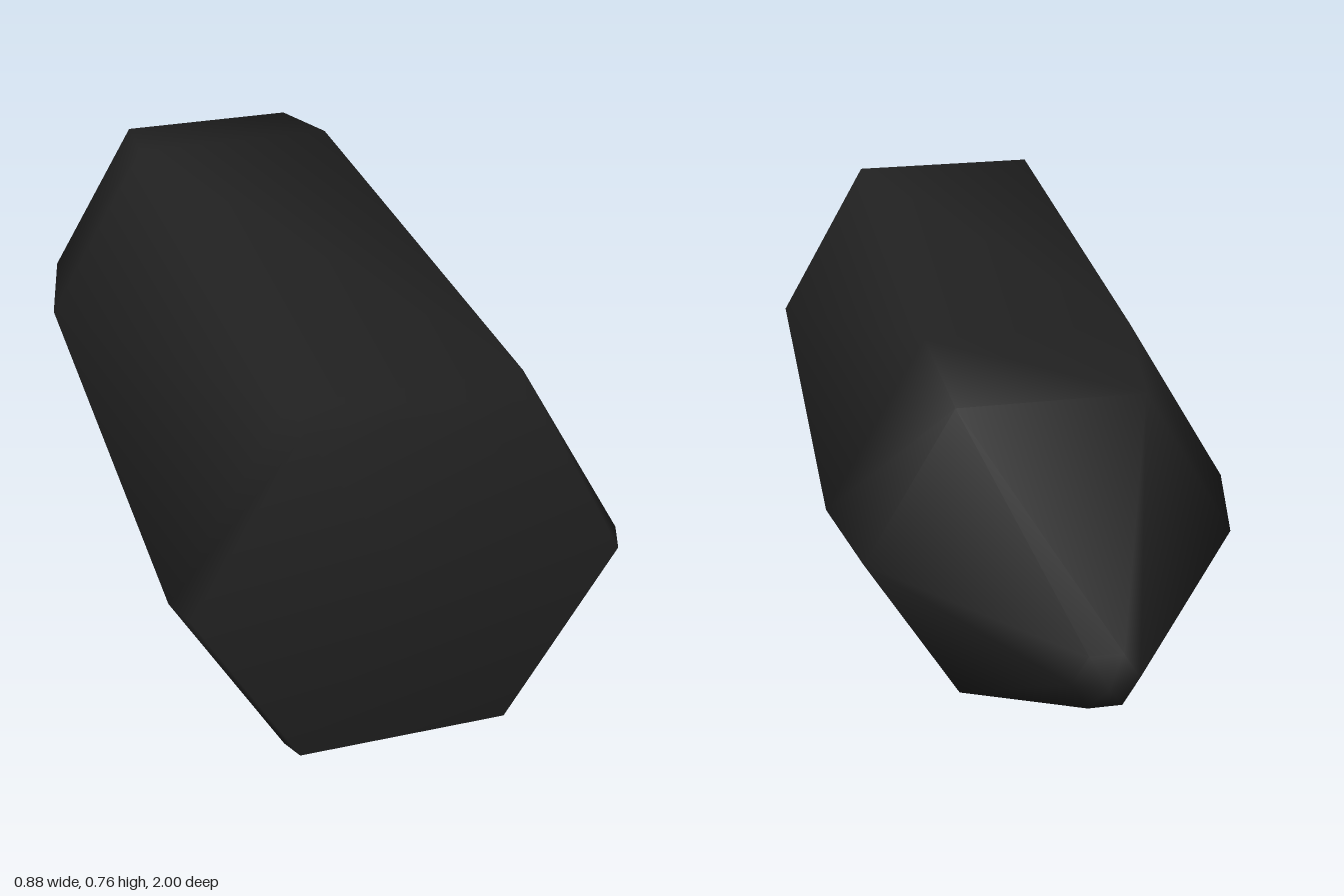
import * as THREE from 'three';
import { mergeVertices } from 'three/addons/utils/BufferGeometryUtils.js';

const RADIUS = 0.44;
const HALF_HEIGHT = RADIUS * Math.sqrt(3) / 2;

// Six-sided body turned around an axis, then laid along z
function hexLathe(profile) {
  const points = profile.map(([r, z]) => new THREE.Vector2(r, z));
  const lathe = new THREE.LatheGeometry(points, 6, Math.PI / 2);
  lathe.deleteAttribute('uv');
  lathe.deleteAttribute('normal');
  // Weld the seam and poles so the shading runs smoothly over every edge
  const geometry = mergeVertices(lathe, 1e-4);
  geometry.rotateX(Math.PI / 2);
  geometry.computeVertexNormals();
  return geometry;
}

export function createModel() {
  const group = new THREE.Group();
  group.name = 'hexagonalBullet';

  const charcoal = new THREE.MeshStandardMaterial({ color: 0x222222 });
  charcoal.name = 'charcoal';

  // [radius, z] from the pointed tip to the flat, bevelled base
  const body = new THREE.Mesh(hexLathe([
    [0, -1],
    [0.065, -0.97],
    [0.387, -0.473],
    [RADIUS, -0.225],
    [RADIUS, 0.936],
    [0.415, 1],
    [0, 1],
  ]), charcoal);
  body.name = 'bulletBody';
  body.position.y = HALF_HEIGHT;
  group.add(body);

  return group;
}
